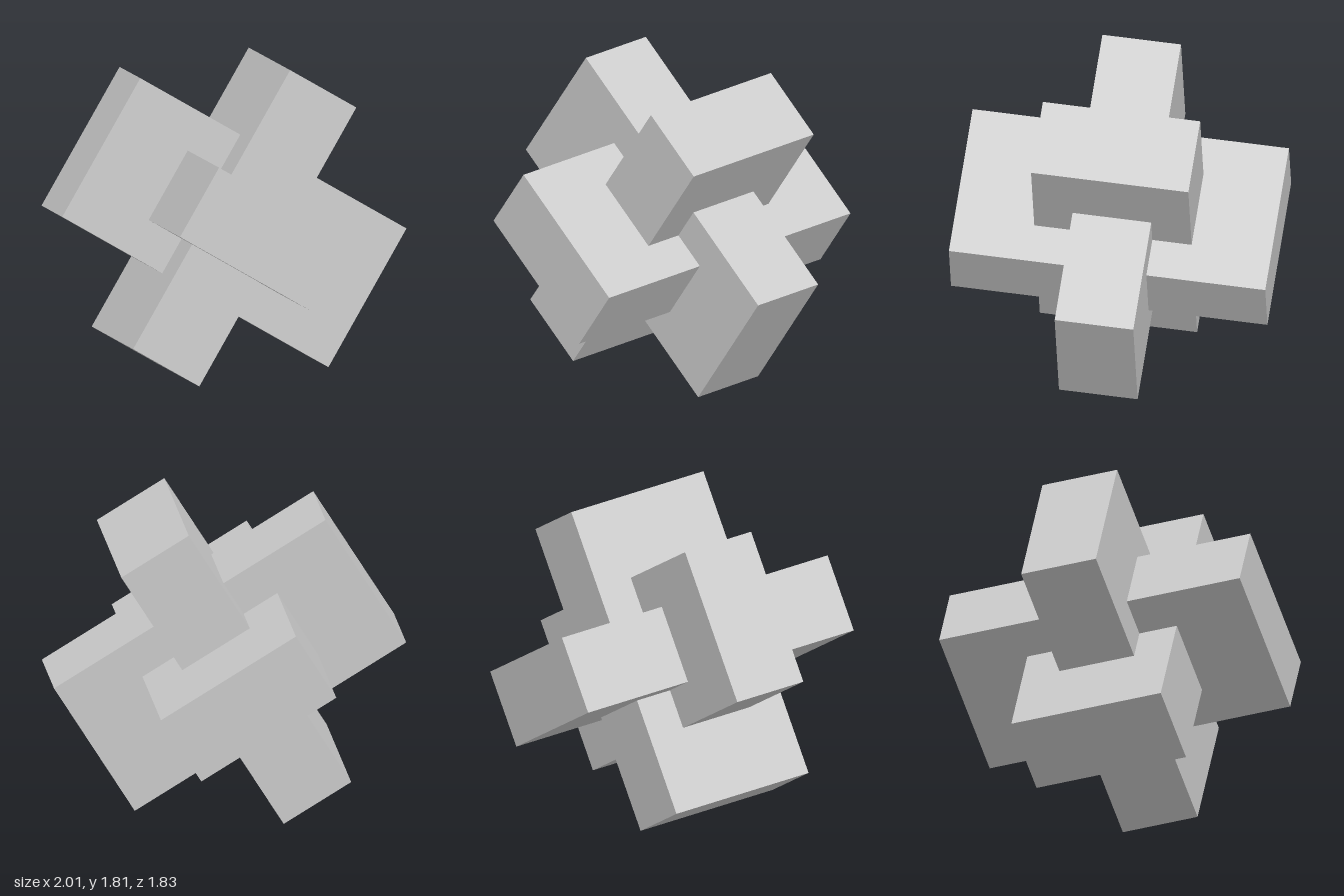
import * as THREE from 'three';

// Three solid sticks locked at right angles, each 4 : 2 : 1 in proportion
const LONG = 1.79, MID = 0.89, THIN = 0.445;

export function createModel() {
  const model = new THREE.Group();
  model.name = 'interlockingPuzzle';
  const material = new THREE.MeshStandardMaterial({ color: 0xcccccc, flatShading: true });

  // Tilted frame shared by all the sticks
  const w = new THREE.Vector3(0.055, 0.055, 1).normalize();
  const u = new THREE.Vector3(0.855, -0.519, 0);
  u.addScaledVector(w, -u.dot(w)).normalize();
  const v = new THREE.Vector3().crossVectors(w, u);
  const knot = new THREE.Group();
  knot.name = 'knot';
  knot.quaternion.setFromRotationMatrix(new THREE.Matrix4().makeBasis(u, v, w));
  knot.position.y = 0.9;
  model.add(knot);

  // The same stick, its proportions cycled through the three axes
  const sticks = {
    crosswiseStick: [LONG, MID, THIN],
    uprightStick: [THIN, LONG, MID],
    frontToBackStick: [MID, THIN, LONG],
  };
  for (const [name, size] of Object.entries(sticks)) {
    const stick = new THREE.Mesh(new THREE.BoxGeometry(...size), material);
    stick.name = name;
    knot.add(stick);
  }

  // Stand on the ground, centred
  model.updateMatrixWorld(true);
  const box = new THREE.Box3().setFromObject(model, true);
  knot.position.y -= box.min.y;
  return model;
}
